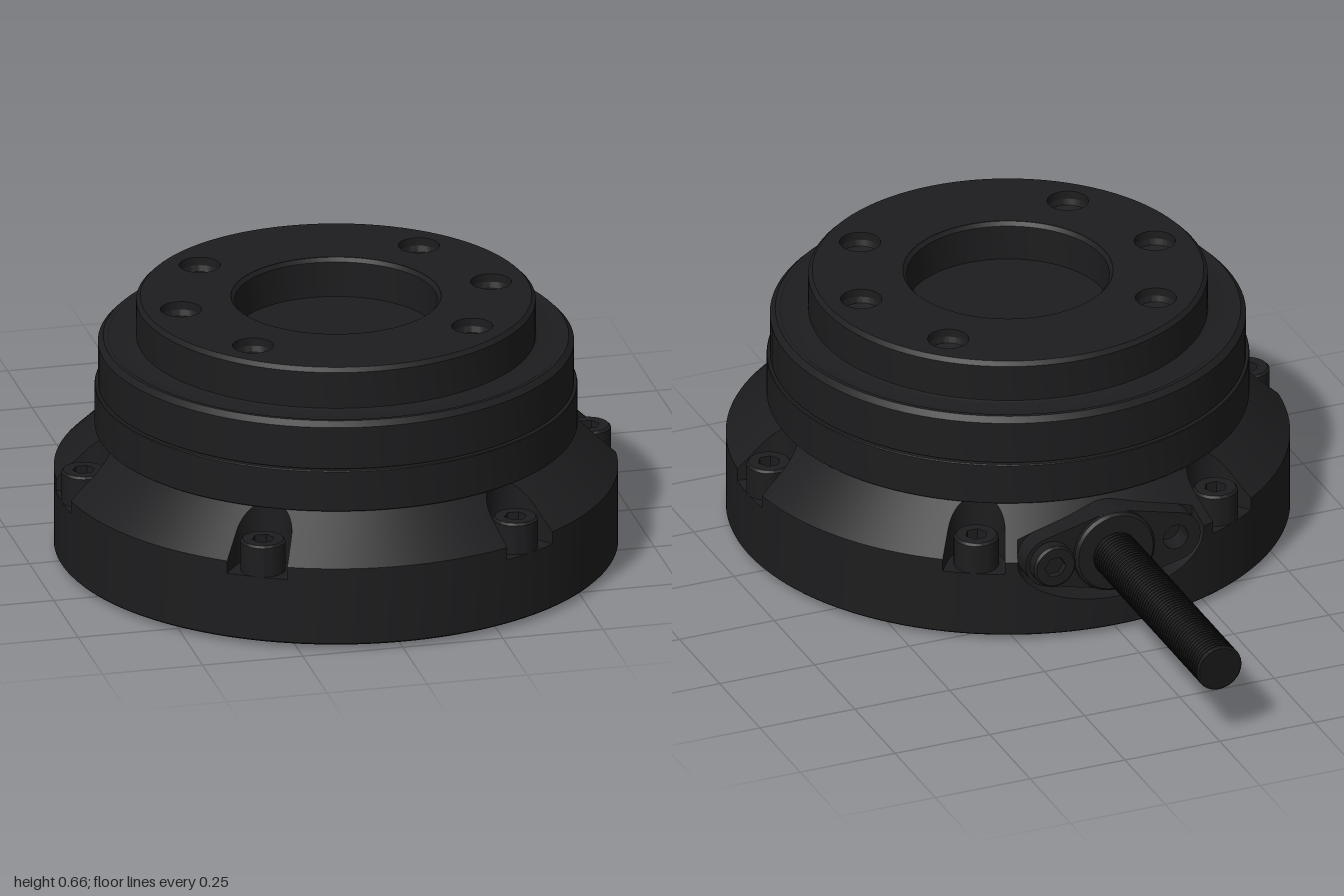
import * as THREE from 'three';
import { toCreasedNormals } from 'three/addons/utils/BufferGeometryUtils.js';

const bodyMat = new THREE.MeshStandardMaterial({ color: 0x1d1d1f });
const cableMat = new THREE.MeshStandardMaterial({ color: 0x171717 });
const rad = THREE.MathUtils.degToRad;

function add(parent, name, geo, mat = bodyMat) {
  const mesh = new THREE.Mesh(toCreasedNormals(geo, 0.5), mat);
  mesh.name = name;
  parent.add(mesh);
  return mesh;
}

const lathe = (pts, seg = 96) =>
  new THREE.LatheGeometry(pts.map(([x, y]) => new THREE.Vector2(x, y)), seg);

const circle = (r, x = 0, y = 0, Type = THREE.Path) => new Type().absarc(x, y, r, 0, Math.PI * 2, false);

// Flat shape with holes, raised along +y from y = base
function plateUp(shape, base, height) {
  return new THREE.ExtrudeGeometry(shape, { depth: height, bevelEnabled: false, curveSegments: 48 })
    .rotateX(-Math.PI / 2).translate(0, base, 0);
}

// Socket-head screw standing on y = 0
function capScrew(name, r, h) {
  const g = new THREE.Group();
  g.name = name;
  const hex = new THREE.Path();
  for (let i = 0; i < 6; i++) {
    const a = i * Math.PI / 3;
    hex[i ? 'lineTo' : 'moveTo'](Math.cos(a) * r * 0.5, Math.sin(a) * r * 0.5);
  }
  hex.closePath();
  const top = circle(r * 0.9, 0, 0, THREE.Shape);
  top.holes.push(hex);
  add(g, 'screwHead', plateUp(top, h * 0.4, h * 0.6));
  add(g, 'screwSide', lathe([[r, 0], [r, h - r * 0.1], [r * 0.9, h]], 48));
  add(g, 'socketFloor', lathe([[r * 0.9, h * 0.45], [0, h * 0.45]], 24));
  return g;
}

// Base wall and sloped shoulder, with screw notches and an oval rear cable pocket
const R = 0.685, R_TOP = 0.57, Y_FOOT = 0.013, Y_EDGE = 0.212, Y_TOP = 0.322, BOLT_R = 0.63, NOTCH = 0.07;
const OUTLET_Y = 0.205;
const slopeY = r => Math.min(Y_TOP, Y_EDGE + (R - r) / (R - R_TOP) * (Y_TOP - Y_EDGE));

function notchedBase() {
  const notch = at => ({
    at, half: THREE.MathUtils.radToDeg(Math.asin(NOTCH / BOLT_R)),
    floor: () => 0.18,
    radius: t => BOLT_R * Math.cos(t) - Math.sqrt(Math.max(0, NOTCH ** 2 - (BOLT_R * Math.sin(t)) ** 2)),
  });
  const pocket = {
    at: 180, half: 21,
    floor: t => OUTLET_Y - 0.112 * Math.sqrt(Math.max(0, 1 - (Math.tan(t) / Math.tan(rad(21))) ** 2)),
    radius: t => 0.6 / Math.cos(t),
  };
  const cuts = [notch(30), notch(90), notch(150), pocket, notch(210), notch(270), notch(330)];

  // Each column is a profile: underside, foot, edge, floor, wall top, shoulder top
  const cols = [];
  const column = (deg, r = R, floor = Y_EDGE) => {
    const a = rad(deg);
    cols.push([[0.52, Y_FOOT], [R - 0.004, Y_FOOT], [R, Y_FOOT + 0.004], [R, floor], [r, floor], [r, slopeY(r)],
      [Math.min(r, R_TOP), Y_TOP]].map(([q, y]) => new THREE.Vector3(q * Math.sin(a), y, q * Math.cos(a))));
  };
  cuts.forEach((c, i) => {
    column(c.at - c.half);
    for (let k = 0; k <= 24; k++) {
      const d = -c.half * Math.cos(Math.PI * k / 24);
      column(c.at + d, c.radius(rad(d)), c.floor(rad(d)));
    }
    const next = cuts[i + 1] ?? { ...cuts[0], at: cuts[0].at + 360 };
    const from = c.at + c.half, to = next.at - next.half;
    for (let k = 0; k < 16; k++) column(from + (to - from) * k / 16);
  });
  cols.push(cols[0]);

  const pos = [];
  const tri = new THREE.Triangle();
  const face = (a, b, c) => {
    if (tri.set(a, b, c).getArea() > 1e-9) for (const p of [a, b, c]) pos.push(p.x, p.y, p.z);
  };
  for (let i = 0; i < cols.length - 1; i++) {
    for (let j = 0; j < cols[i].length - 1; j++) {
      const [p, q] = [cols[i], cols[i + 1]];
      face(p[j], q[j], q[j + 1]);
      face(p[j], q[j + 1], p[j + 1]);
    }
  }
  const geo = new THREE.BufferGeometry();
  geo.setAttribute('position', new THREE.Float32BufferAttribute(pos, 3));
  return geo;
}

export function createModel() {
  const model = new THREE.Group();
  model.name = 'flangedSensor';
  const body = new THREE.Group();
  body.name = 'body';
  body.position.z = 0.315;
  model.add(body);

  // Base
  add(body, 'base', notchedBase());
  add(body, 'undersideRecess', lathe([[0, 0.08], [0.235, 0.08], [0.235, 0.075], [0.46, 0.075], [0.46, 0.06],
    [0.512, 0.06], [0.521, Y_FOOT]]));

  // Stepped drum
  add(body, 'drum', lathe([[0.5, 0.322], [0.584, 0.322], [0.586, 0.324], [0.586, 0.426], [0.584, 0.428],
    [0.572, 0.428], [0.572, 0.431], [0.578, 0.431], [0.578, 0.538], [0.565, 0.551], [0.555, 0.551],
    [0.552, 0.549], [0.492, 0.549], [0.485, 0.552], [0.485, 0.645], [0.475, 0.655]]));

  // Top face with a central recess and six screw holes
  const holeSpots = [0, 45, 135, 180, 225, 315].map(d => [0.387 * Math.cos(rad(d)), 0.387 * Math.sin(rad(d))]);
  const top = circle(0.475, 0, 0, THREE.Shape);
  top.holes.push(circle(0.255), ...holeSpots.map(([x, z]) => circle(0.05, x, -z)));
  add(body, 'topPlate', plateUp(top, 0.555, 0.1));
  add(body, 'centreRecess', lathe([[0.256, 0.655], [0.246, 0.645], [0.246, 0.555], [0, 0.555]]));

  // Pins below the holes; the two on the x axis are shorter
  const feet = [0.03, 0, 0, 0.012, 0, 0];
  holeSpots.forEach(([x, z], i) => {
    add(body, 'topHole', lathe([[0.052, 0.64], [0.045, 0.62], [0, 0.605]], 48)).position.set(x, 0, z);
    const foot = feet[i];
    add(body, 'bottomPin', lathe([[0, foot], [0.038, foot], [0.045, foot + 0.008], [0.045, 0.08]], 32))
      .position.set(x, 0, z);
  });

  // Mounting screws in the notches
  for (let i = 0; i < 6; i++) {
    const a = rad(30 + 60 * i);
    const screw = capScrew('mountingScrew', 0.055, 0.08);
    screw.position.set(BOLT_R * Math.sin(a), 0.18, BOLT_R * Math.cos(a));
    body.add(screw);
  }

  // Cable outlet at the rear: its own +y axis points along -z
  const outlet = new THREE.Group();
  outlet.name = 'cableOutlet';
  outlet.position.set(0, OUTLET_Y, -0.28);
  outlet.rotation.x = -Math.PI / 2;
  model.add(outlet);

  // Oval flange: tangent lines join the large middle arc to the small end arcs
  const big = 0.105, small = 0.065, ear = 0.165;
  const t = Math.acos((big - small) / ear);
  const oval = new THREE.Shape();
  oval.absarc(ear, 0, small, -t, t, false);
  oval.absarc(0, 0, big, t, Math.PI - t, false);
  oval.absarc(-ear, 0, small, Math.PI - t, Math.PI + t, false);
  oval.absarc(0, 0, big, Math.PI + t, Math.PI * 2 - t, false);
  oval.holes.push(circle(0.032, -ear, 0));
  add(outlet, 'outletFlange', plateUp(oval, -0.01, 0.068));
  add(outlet, 'collar', lathe([[0.105, 0.04], [0.105, 0.068], [0.098, 0.075], [0.05, 0.075]], 64));
  const outletScrew = capScrew('outletScrew', 0.055, 0.032);
  outletScrew.position.set(ear, 0.058, 0);
  outlet.add(outletScrew);

  // Ribbed cable
  const ribs = [];
  const start = 0.06, end = 0.72, count = 56, pitch = (end - start) / count;
  for (let i = 0; i < count; i++) {
    const y = start + i * pitch;
    ribs.push([0.053, y], [0.059, y + pitch * 0.25], [0.059, y + pitch * 0.65], [0.053, y + pitch * 0.9]);
  }
  ribs.push([0.053, end], [0, end]);
  add(outlet, 'cable', lathe(ribs, 32), cableMat).position.z = -0.005;

  return model;
}
